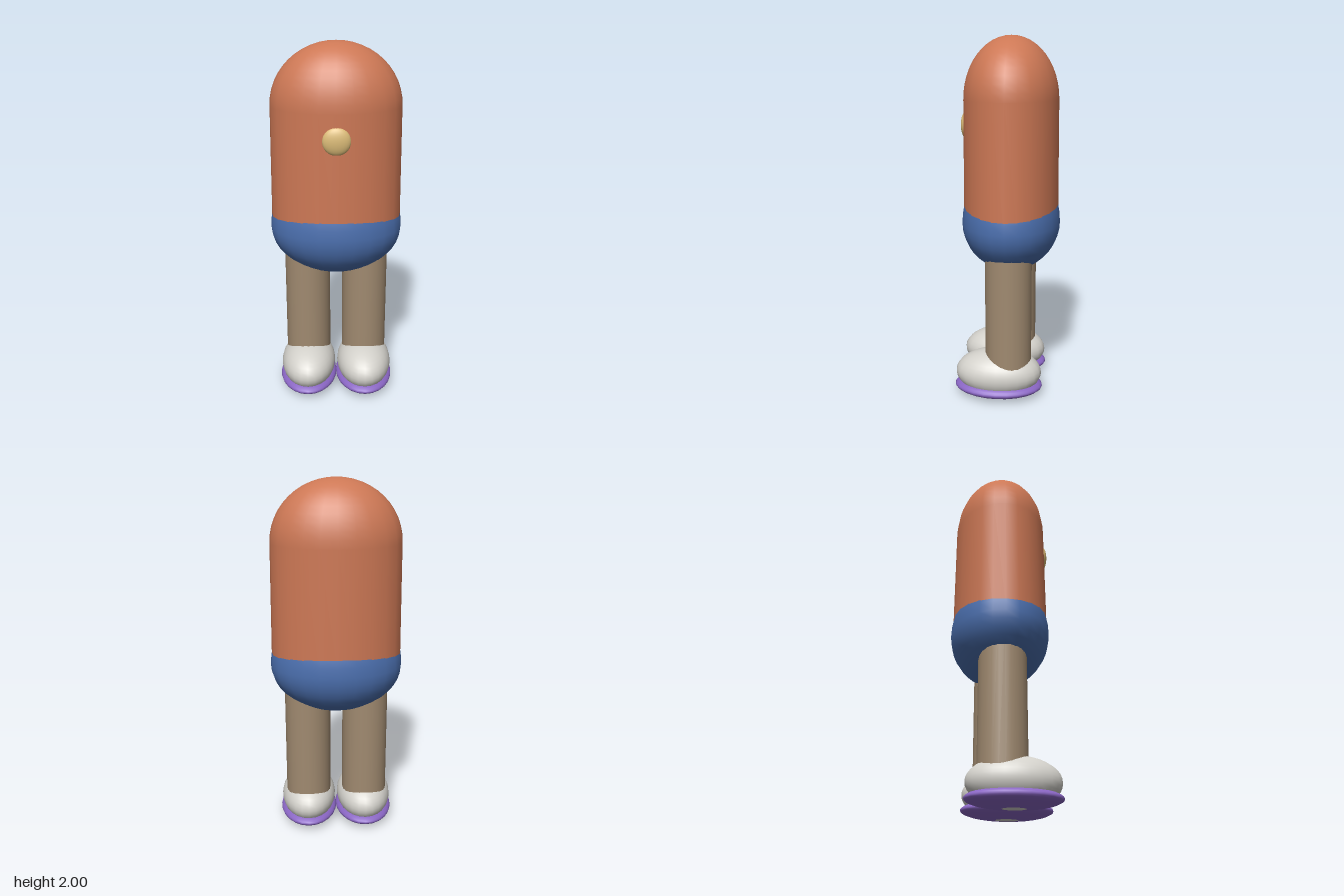
import * as THREE from 'three';

const paint = (name, color) => {
  const m = new THREE.MeshStandardMaterial({ color });
  m.name = name;
  return m;
};

export function createModel() {
  const orange = paint('orange', 0xcd7855);
  const blue = paint('blue', 0x4b6fae);
  const tan = paint('tan', 0xa08a70);
  const white = paint('offWhite', 0xd4d2cc);
  const purple = paint('purple', 0x8a66c4);
  const yellow = paint('yellow', 0xdcbc78);

  const model = new THREE.Group();
  const Z = -0.016; // depth of the body axis

  const add = (name, geometry, material, x, y, z, parent = model) => {
    const mesh = new THREE.Mesh(geometry, material);
    mesh.name = name;
    mesh.position.set(x, y, z);
    parent.add(mesh);
    return mesh;
  };
  const ellipsoid = (rx, ry, rz) => new THREE.SphereGeometry(1, 24, 20).scale(rx, ry, rz);

  // Torso: oval column, slightly wider at the hem, closed by a tall dome
  const profile = [new THREE.Vector2(0, 0.98), new THREE.Vector2(1.018, 0.98)];
  const steps = 12;
  for (let i = 0; i <= steps; i++) {
    const a = (i / steps) * Math.PI / 2;
    profile.push(new THREE.Vector2(i === steps ? 0 : Math.cos(a), 1.66 + 0.34 * Math.sin(a)));
  }
  // The hem's underside stays inside the hips, so only the wall is lathed
  const torso = new THREE.LatheGeometry(profile.slice(1), 24).scale(0.357, 1, 0.26);
  add('torso', torso, orange, 0, 0, Z);

  // Hips: egg shape, stretched upward so that it meets the torso in a thin hem
  const hips = ellipsoid(0.37, 0.27, 0.275);
  const p = hips.attributes.position;
  for (let i = 0; i < p.count; i++) if (p.getY(i) > 0) p.setY(i, p.getY(i) * 1.35);
  hips.computeVertexNormals();
  // Keep the normals smooth across the seam and poles
  const n = hips.attributes.normal;
  for (let i = 0; i < p.count; i++) {
    const ry = p.getY(i) > 0 ? 0.3645 : 0.27;
    const v = new THREE.Vector3(p.getX(i) / 0.37 ** 2, p.getY(i) / ry ** 2, p.getZ(i) / 0.275 ** 2).normalize();
    n.setXYZ(i, v.x, v.y, v.z);
  }
  add('hips', hips, blue, 0, 0.98, Z);

  // Round button on the chest
  add('chestButton', ellipsoid(0.075, 0.075, 0.03), yellow, 0, 1.52, 0.235);

  // Legs with shoes and soles
  for (const [side, s] of [['left', 1], ['right', -1]]) {
    const leg = new THREE.Group();
    leg.name = side + 'LegGroup';
    leg.position.x = s * 0.165;
    model.add(leg);
    add(side + 'Leg', new THREE.CylinderGeometry(0.13, 0.13, 0.85, 24), tan, 0, 0.545, Z, leg);
    add(side + 'Shoe', ellipsoid(0.159, 0.132, 0.244), white, 0, 0.132, 0.04, leg);
    add(side + 'Sole', ellipsoid(0.167, 0.05, 0.25), purple, 0, 0.053, 0.04, leg);
  }

  return model;
}
